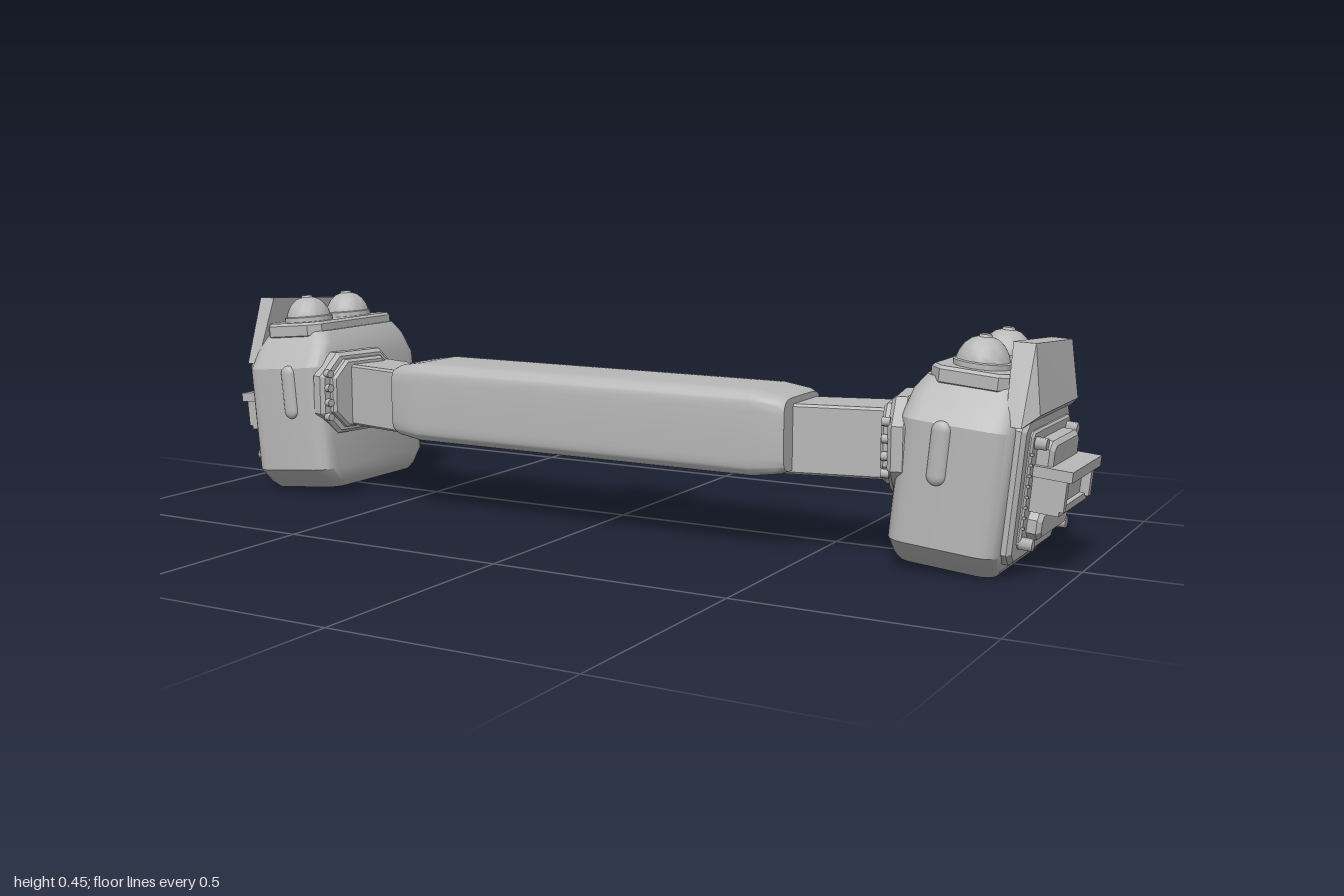
import * as THREE from 'three';
import { toCreasedNormals } from 'three/addons/utils/BufferGeometryUtils.js';
import { ConvexGeometry } from 'three/addons/geometries/ConvexGeometry.js';

const grey = new THREE.MeshStandardMaterial({ color: 0xb8b8b8 });
grey.name = 'plain grey';

function add(parent, name, geometry, x = 0, y = 0, z = 0) {
  const mesh = new THREE.Mesh(geometry, grey);
  mesh.name = name;
  mesh.position.set(x, y, z);
  parent.add(mesh);
  return mesh;
}
const box = (parent, name, w, h, d, x, y, z) => add(parent, name, new THREE.BoxGeometry(w, h, d), x, y, z);

// Skin over horizontal rings of equal point count, capped at both ends
function loft(rings) {
  const n = rings[0].points.length, pos = [], index = [];
  rings.forEach(r => r.points.forEach(([x, z]) => pos.push(x, r.y, z)));
  for (let k = 0; k < rings.length - 1; k++) {
    for (let i = 0; i < n; i++) {
      const a = k * n + i, b = k * n + (i + 1) % n;
      index.push(a, a + n, b, b, a + n, b + n);
    }
  }
  const top = (rings.length - 1) * n;
  for (let i = 1; i < n - 1; i++) {
    index.push(0, i, i + 1, top, top + i + 1, top + i);
  }
  const g = new THREE.BufferGeometry();
  g.setAttribute('position', new THREE.Float32BufferAttribute(pos, 3));
  g.setIndex(index);
  return toCreasedNormals(g, 0.5);
}

// Rounded rectangle ring in x and z
function roundedRing(y, hx, z0, z1, r) {
  const points = [], cz = (z0 + z1) / 2, hz = (z1 - z0) / 2;
  [[1, 1], [-1, 1], [-1, -1], [1, -1]].forEach(([sx, sz], c) => {
    for (let j = 0; j < 5; j++) {
      const a = (c + j / 4) * Math.PI / 2;
      points.push([sx * (hx - r) + r * Math.cos(a), cz + sz * (hz - r) + r * Math.sin(a)]);
    }
  });
  return { y, points };
}

// Softly bulging square ring
function bulgedRing(y, hx, hz, cz) {
  const soft = v => Math.sign(v) * Math.abs(v) ** 0.3;
  const points = Array.from({ length: 48 }, (_, i) => {
    const a = i / 48 * Math.PI * 2;
    return [hx * soft(Math.cos(a)), cz + hz * soft(Math.sin(a))];
  });
  return { y, points };
}

function cutRect(w, h, c, Type = THREE.Shape) {
  const a = w / 2, b = h / 2;
  return new Type([[-a + c, -b], [a - c, -b], [a, -b + c], [a, b - c], [a - c, b], [-a + c, b], [-a, b - c], [-a, -b + c]]
    .map(p => new THREE.Vector2(...p)));
}

// Plate with cut corners, facing +z from its base at z = 0
function plate(w, h, depth, cut, bevel = 0.006, hole) {
  const shape = cutRect(w - 2 * bevel, h - 2 * bevel, cut);
  if (hole) shape.holes.push(cutRect(hole[0], hole[1], 0.004, THREE.Path));
  return new THREE.ExtrudeGeometry(shape, {
    depth: depth - bevel, bevelEnabled: bevel > 0, bevelSize: bevel, bevelThickness: bevel, bevelSegments: 1
  });
}
const sidePlate = (...args) => plate(...args).rotateY(Math.PI / 2);
const backPlate = (...args) => plate(...args).rotateY(Math.PI);

function buildPod() {
  const pod = new THREE.Group();
  pod.position.set(0.79, 0.19, 0);
  pod.rotation.z = -0.09;

  add(pod, 'podShell', loft([
    roundedRing(-0.182, 0.095, -0.15, 0.14, 0.03),
    roundedRing(-0.168, 0.105, -0.165, 0.155, 0.035),
    roundedRing(-0.135, 0.11, -0.193, 0.185, 0.04),
    roundedRing(0.10, 0.11, -0.193, 0.185, 0.04),
    roundedRing(0.15, 0.102, -0.168, 0.152, 0.035),
    roundedRing(0.178, 0.085, -0.15, 0.13, 0.03)
  ]));

  // Top plate with two domes
  add(pod, 'domePlate', plate(0.16, 0.30, 0.03, 0.02).rotateX(-Math.PI / 2), 0.005, 0.17, -0.01);
  const profile = [[0.055, 0], [0.055, 0.012], [0.051, 0.014], [0.047, 0.027], [0.038, 0.042],
    [0.025, 0.053], [0.013, 0.057], [0.011, 0.062], [0, 0.062]].map(p => new THREE.Vector2(...p));
  for (const z of [-0.078, 0.064]) {
    add(pod, 'dome', toCreasedNormals(new THREE.LatheGeometry(profile, 28), 0.6), 0.005, 0.198, z);
  }

  // Upright fin above the outer panel
  add(pod, 'fin', new ConvexGeometry([
    [0.09, 0.112, 0.16], [0.09, 0.112, -0.165], [0.12, 0.112, 0.16], [0.12, 0.112, -0.165],
    [0.142, 0.135, 0.125], [0.142, 0.135, -0.13],
    [0.07, 0.26, 0.105], [0.07, 0.243, -0.15], [0.112, 0.262, 0.103], [0.112, 0.245, -0.148]
  ].map(p => new THREE.Vector3(...p))));

  // Outer panel, bolts and rivets
  add(pod, 'outerPanel', sidePlate(0.298, 0.28, 0.025, 0.018, 0.008), 0.102, -0.012, 0.002);
  add(pod, 'boltPlate', sidePlate(0.25, 0.225, 0.01, 0.008, 0.004), 0.124, -0.01, -0.005);
  for (const [z, y] of [[0.098, 0.08], [-0.108, 0.08], [0.108, -0.11], [-0.117, -0.11]]) {
    add(pod, 'bolt', new THREE.CylinderGeometry(0.012, 0.013, 0.025, 6).rotateZ(-Math.PI / 2), 0.143, y, z);
  }
  for (const z of [0.117, -0.127]) {
    for (let i = 0; i < 8; i++) {
      box(pod, 'rivet', 0.006, 0.005, 0.005, 0.135, -0.08 + i * 0.02, z);
    }
  }

  // Outer handle: two pads with a projecting shelf and bracket between
  add(pod, 'upperPad', sidePlate(0.18, 0.075, 0.035, 0.01, 0.008), 0.13, 0.045, -0.005);
  add(pod, 'lowerPad', sidePlate(0.19, 0.055, 0.03, 0.01, 0.008), 0.13, -0.08, -0.005);
  box(pod, 'handleShelf', 0.078, 0.021, 0.204, 0.169, 0.026, -0.005);
  box(pod, 'handleCore', 0.05, 0.055, 0.165, 0.155, -0.012, -0.005);
  box(pod, 'handleBase', 0.06, 0.014, 0.192, 0.16, -0.045, -0.005);
  for (const s of [-1, 1]) box(pod, 'handleEnd', 0.068, 0.062, 0.016, 0.164, -0.012, -0.005 + s * 0.088);

  // Rear louvred vent
  add(pod, 'ventFrame', backPlate(0.15, 0.165, 0.028, 0.006, 0.005, [0.11, 0.125]), 0, -0.045, -0.19);
  for (let i = 0; i < 4; i++) {
    box(pod, 'louvre', 0.114, 0.013, 0.02, 0, -0.09 + i * 0.03, -0.202).rotation.x = -0.5;
  }

  // Raised oval on the front
  const oval = add(pod, 'frontOval', new THREE.CapsuleGeometry(0.019, 0.085, 6, 16), -0.02, 0.045, 0.183);
  oval.scale.z = 0.6;
  return pod;
}

function buildSide() {
  const side = new THREE.Group();
  const pod = buildPod();
  pod.name = 'pod';
  side.add(pod);

  // Arm sweeping back from the bar to the pod
  const plan = new THREE.Shape([[0.44, 0.052], [0.66, -0.012], [0.66, 0.112], [0.44, 0.16]]
    .map(p => new THREE.Vector2(...p)));
  add(side, 'arm', new THREE.ExtrudeGeometry(plan, {
    depth: 0.129, bevelSize: 0.005, bevelThickness: 0.005, bevelSegments: 1
  }).rotateX(Math.PI / 2), 0, 0.297, 0);

  // Flange joining arm and pod
  const flange = new THREE.Group();
  flange.name = 'flange';
  flange.position.set(0.668, 0.237, 0.075);
  flange.rotation.y = 0.2;
  add(flange, 'flangePlate', sidePlate(0.225, 0.185, 0.03, 0.045, 0.008), -0.008, 0, 0);
  add(flange, 'flangeCollar', sidePlate(0.18, 0.155, 0.018, 0.035, 0.006), -0.026, 0, 0);
  for (let i = 0; i < 4; i++) {
    add(flange, 'flangeBolt', new THREE.CylinderGeometry(0.009, 0.009, 0.016, 8).rotateZ(Math.PI / 2),
      -0.02, -0.05 + i * 0.033, 0.097);
  }
  side.add(flange);
  return side;
}

export function createModel() {
  const model = new THREE.Group();
  model.name = 'doublePodBar';

  // Central grip bar
  const stations = [[-0.47, 0.072, 0.086], [-0.455, 0.078, 0.093], [-0.4, 0.0865, 0.097],
    [0.4, 0.0865, 0.097], [0.455, 0.078, 0.093], [0.47, 0.072, 0.086]];
  add(model, 'gripBar', loft(stations.map(([x, h, d]) => bulgedRing(x, h, d, 0.114))).rotateZ(-Math.PI / 2), 0, 0.243, 0);

  // Rear centre housing
  add(model, 'rearHousing', backPlate(0.22, 0.09, 0.06, 0.012, 0.008), 0, 0.243, 0.025);
  add(model, 'rearRim', backPlate(0.17, 0.062, 0.04, 0.006, 0.004, [0.135, 0.034]), 0, 0.243, -0.028);

  // Rear slots on both sides of the housing
  for (const x of [-0.305, 0.305]) {
    add(model, 'rearSlotBar', backPlate(0.205, 0.032, 0.03, 0.004, 0.004), x, 0.238, 0.022);
    add(model, 'rearSlotTab', backPlate(0.12, 0.062, 0.022, 0.008, 0.004), x, 0.243, 0.022);
  }

  // Mirrored ends
  const left = buildSide(), right = buildSide();
  left.name = 'leftEnd';
  right.name = 'rightEnd';
  right.scale.x = -1;
  model.add(left, right);
  return model;
}
